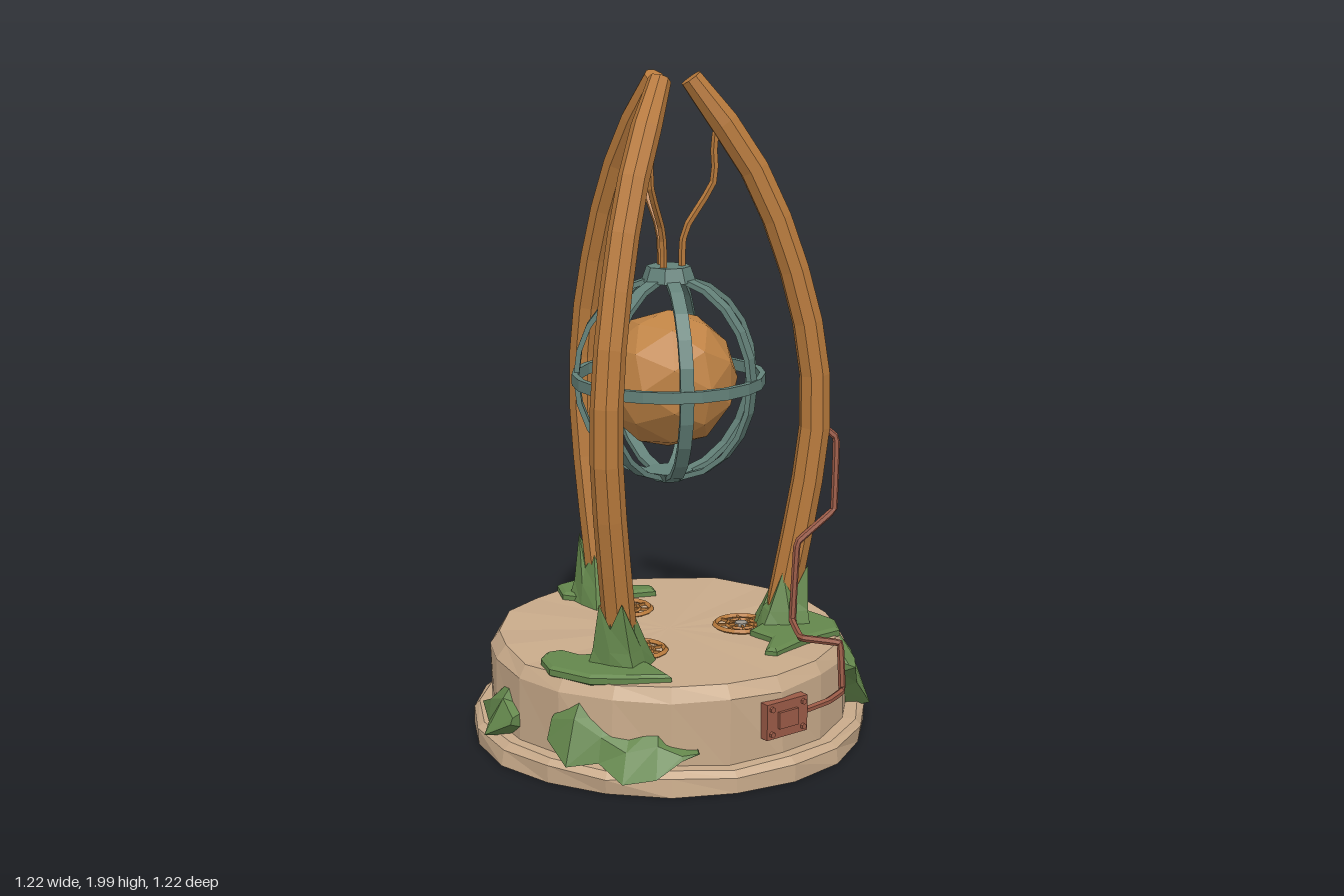
import * as THREE from 'three';

const V3 = (x, y, z) => new THREE.Vector3(x, y, z);
const V2 = (x, y) => new THREE.Vector2(x, y);
const mat = (name, color) => Object.assign(new THREE.MeshStandardMaterial({ color }), { name });
const rad = THREE.MathUtils.degToRad;

// Faceted copy of a geometry
function facet(geometry) {
  const g = geometry.index ? geometry.toNonIndexed() : geometry;
  g.computeVertexNormals();
  return g;
}

function add(parent, name, geometry, material, x = 0, y = 0, z = 0) {
  const mesh = new THREE.Mesh(facet(geometry), material);
  mesh.name = name;
  mesh.position.set(x, y, z);
  parent.add(mesh);
  return mesh;
}

// Solid through equal-sized rings, each counter-clockwise about the direction of travel
function loft(rings) {
  const n = rings[0].length, last = rings.length - 1, pos = [], idx = [];
  rings.forEach(ring => ring.forEach(p => pos.push(p.x, p.y, p.z)));
  for (let i = 0; i < last; i++) {
    for (let j = 0; j < n; j++) {
      const a = i * n + j, b = i * n + (j + 1) % n;
      idx.push(a, b, a + n, b, b + n, a + n);
    }
  }
  for (let j = 1; j < n - 1; j++) idx.push(0, j + 1, j, last * n, last * n + j, last * n + j + 1);
  const g = new THREE.BufferGeometry();
  g.setAttribute('position', new THREE.Float32BufferAttribute(pos, 3));
  g.setIndex(idx);
  return g;
}

// Sweep along a curve in the radius/height plane; size(t) gives in-plane and sideways half sizes
function sweep(curve, steps, sides, size, turn = 0) {
  const rings = [];
  for (let i = 0; i <= steps; i++) {
    const t = i / steps, c = curve.getPointAt(t), d = curve.getTangentAt(t), [a, b] = size(t);
    rings.push(Array.from({ length: sides }, (_, j) => {
      const w = turn + j / sides * Math.PI * 2;
      const u = a * Math.cos(w);
      return V3(c.x + u * d.y, c.y - u * d.x, -b * Math.sin(w));
    }));
  }
  return loft(rings);
}

// Lathe with a slightly worn, uneven outline
function wornLathe(profile) {
  const g = new THREE.LatheGeometry(profile.map(p => V2(...p)), 20);
  const p = g.attributes.position;
  for (let i = 0; i < p.count; i++) {
    const x = p.getX(i), y = p.getY(i), z = p.getZ(i), a = Math.atan2(x, z);
    const k = 1 + 0.007 * Math.sin(7 * a + y * 40) + 0.005 * Math.cos(4 * a - y * 25);
    const lift = y > 0.02 && Math.hypot(x, z) > 0.4 ? 0.005 * Math.sin(9 * a + y * 20) : 0;
    p.setXYZ(i, x * k, y + lift, z * k);
  }
  return g;
}

// Moss on the wall: columns of [angle, low, high]
function wallMoss(columns) {
  return loft(columns.map(([deg, low, high], i) => {
    const s = Math.sin(rad(deg)), c = Math.cos(rad(deg)), bump = i % 2 ? 0.012 : 0;
    const mid = low + (high - low) * 0.65;
    return [[0.51, high], [0.56 + bump, mid], [low < 0.06 ? 0.622 : 0.58, low + 0.02], [0.53, low]]
      .map(([r, y]) => V3(r * s, y, r * c));
  }));
}

export function createModel() {
  const stone = mat('sandstone', 0xc8aa8a);
  const wood = mat('bronze wood', 0xb87a3c);
  const amber = mat('amber orb', 0xbf8345);
  const steel = mat('teal metal', 0x64827a);
  const green = mat('moss green', 0x64874c);
  const copper = mat('red copper', 0x9a5a46);
  const gray = mat('gray metal', 0xa09a90);

  const model = new THREE.Group();
  model.name = 'orbShrine';

  // Stone base
  add(model, 'plinth', wornLathe([[0, 0], [0.605, 0], [0.605, 0.05], [0.585, 0.068], [0, 0.068]]), stone);
  add(model, 'drum', wornLathe([[0, 0.05], [0.548, 0.05], [0.546, 0.26], [0.52, 0.3], [0, 0.3]]), stone);

  // Three curved arms, each with a wire, a floor grate and a moss collar
  const armPath = new THREE.SplineCurve([[0.335, 0.28], [0.4, 0.62], [0.445, 0.93], [0.428, 1.2],
    [0.345, 1.5], [0.235, 1.74], [0.065, 1.975]].map(p => V2(...p)));
  const wirePath = new THREE.SplineCurve([[0.165, 1.85], [0.135, 1.8], [0.135, 1.68], [0.09, 1.6],
    [0.046, 1.52], [0.04, 1.41]].map(p => V2(...p)));
  for (let k = 0; k < 3; k++) {
    const unit = new THREE.Group();
    unit.name = 'armUnit' + (k + 1);
    unit.rotation.y = rad(90 + 120 * k);
    model.add(unit);
    add(unit, 'arm', sweep(armPath, 11, 8, t => {
      const r = t > 0.93 ? 0.034 : 0.05 - 0.006 * t;
      return [r, r];
    }, Math.PI / 8), wood);
    add(unit, 'wire', sweep(wirePath, 10, 5, () => [0.011, 0.011]), wood);

    const grate = new THREE.Group();
    grate.name = 'floorGrate';
    grate.position.set(0.225, 0.304, 0);
    unit.add(grate);
    [[0.08, 0.009], [0.045, 0.006]].forEach(([r, w]) =>
      add(grate, 'grateRing', new THREE.TorusGeometry(r, w, 4, 16).rotateX(Math.PI / 2), wood));
    for (let i = 0; i < 8; i++) {
      const spoke = add(grate, 'grateSpoke', new THREE.BoxGeometry(0.06, 0.008, 0.007).translate(0.048, 0, 0), wood);
      spoke.rotation.y = i * Math.PI / 4;
    }
    add(grate, 'grateHub', new THREE.CylinderGeometry(0.02, 0.022, 0.014, 8), gray);

    const peaks = [0.43, 0.51, 0.41, 0.46, 0.38, 0.48, 0.4, 0.5];
    const collar = [0, 1, 2].map(level => peaks.map((h, j) => {
      const w = -j / 8 * Math.PI * 2, jag = j % 2 ? 0.01 : -0.004;
      const r = [0.092, 0.074, 0.052][level] + jag * (2 - level);
      const y = [0.29, 0.36, h][level];
      return V3(0.352 + (y - 0.3) * 0.18 + r * Math.cos(w), y, r * Math.sin(w));
    }));
    add(unit, 'mossCollar', loft(collar), green);
  }

  // Moss mats on the drum top, outlines in x and z
  const mats = [
    [[-0.06, -0.52], [0.06, -0.53], [0.1, -0.47], [0.12, -0.38], [0.18, -0.33], [0.16, -0.28],
      [0.05, -0.32], [-0.05, -0.35], [-0.1, -0.43]],
    [[-0.45, 0], [-0.4, 0.01], [-0.38, 0.08], [-0.28, 0.12], [-0.3, 0.2], [-0.26, 0.25],
      [-0.28, 0.39], [-0.4, 0.31], [-0.47, 0.25], [-0.52, 0.12], [-0.49, 0.03]],
    [[0.4, 0.06], [0.42, 0.15], [0.43, 0.28], [0.38, 0.36], [0.25, 0.36], [0.1, 0.4],
      [0.08, 0.37], [0.17, 0.29], [0.16, 0.2], [0.28, 0.15]],
  ];
  mats.forEach(outline => {
    const shape = new THREE.Shape(outline.map(([x, z]) => V2(x, -z)));
    const g = new THREE.ExtrudeGeometry(shape, { depth: 0.018, bevelEnabled: true, bevelSegments: 1,
      bevelSize: 0.012, bevelOffset: -0.012, bevelThickness: 0.008 });
    add(model, 'mossMat', g.rotateX(-Math.PI / 2), green, 0, 0.296, 0);
  });

  // Moss creeping over the wall
  [
    [[98, 0.09, 0.12], [105, 0.05, 0.16], [113, 0.03, 0.17], [122, 0.02, 0.15], [131, 0.06, 0.18],
      [141, 0.08, 0.14], [154, 0.12, 0.14]],
    [[40, 0.2, 0.24], [46, 0.13, 0.28], [53, 0.04, 0.31], [60, 0.03, 0.3], [66, 0.07, 0.27],
      [72, 0.12, 0.2], [77, 0.15, 0.17]],
    [[248, 0.1, 0.13], [255, 0.06, 0.2], [262, 0.05, 0.24], [270, 0.1, 0.16]],
    [[286, 0.1, 0.22], [295, 0.05, 0.28], [303, 0.06, 0.2], [311, 0.02, 0.17], [320, 0.04, 0.19],
      [327, 0.08, 0.13], [332, 0.1, 0.12]],
  ].forEach(columns => add(model, 'wallMoss', wallMoss(columns), green));

  // Orb inside its cage
  add(model, 'orb', new THREE.IcosahedronGeometry(0.208, 1), amber, 0, 1.085, 0);
  const cage = new THREE.Group();
  cage.name = 'cage';
  cage.position.y = 1.088;
  model.add(cage);
  const ribPath = new THREE.EllipseCurve(0, 0, 0.276, 0.305, rad(-80), rad(80));
  for (let k = 0; k < 7; k++) {
    const rib = add(cage, 'rib', sweep(ribPath, 10, 4, () => [0.011, 0.028], Math.PI / 4), steel);
    rib.rotation.y = rad(90 + k * 360 / 7);
  }
  const band = [[0.272, -0.017], [0.29, -0.017], [0.29, 0.017], [0.272, 0.017], [0.272, -0.017]];
  add(cage, 'equatorBand', new THREE.LatheGeometry(band.map(p => V2(...p)), 21), steel);
  add(cage, 'topHub', new THREE.CylinderGeometry(0.066, 0.082, 0.045, 8), steel, 0, 0.315, 0);
  add(cage, 'bottomHub', new THREE.CylinderGeometry(0.075, 0.05, 0.03, 8), steel, 0, -0.298, 0);

  // Copper panel on the front wall
  const panel = new THREE.Group();
  panel.name = 'controlPanel';
  panel.position.set(0.003, 0.183, 0.552);
  model.add(panel);
  add(panel, 'panelPlate', new THREE.BoxGeometry(0.15, 0.108, 0.03), copper);
  add(panel, 'panelBoss', new THREE.BoxGeometry(0.07, 0.05, 0.012), copper, 0, 0, 0.018);
  for (const x of [-0.058, 0.058]) {
    for (const y of [-0.038, 0.038]) {
      add(panel, 'panelBolt', new THREE.CylinderGeometry(0.009, 0.009, 0.01, 6).rotateX(Math.PI / 2), copper, x, y, 0.018);
    }
  }

  // Pipe from the panel over the rim and up the left arm
  const route = [[0.07, 0.185, 0.555], [0.18, 0.185, 0.54], [0.27, 0.185, 0.5], [0.272, 0.33, 0.485],
    [0.21, 0.33, 0.38], [0.285, 0.335, 0.25], [0.3, 0.58, 0.25], [0.42, 0.67, 0.278],
    [0.437, 0.89, 0.265], [0.4, 0.93, 0.235]].map(p => V3(...p));
  const pipe = new THREE.CatmullRomCurve3(route, false, 'catmullrom', 0.05);
  add(model, 'pipe', new THREE.TubeGeometry(pipe, 70, 0.011, 6), copper);

  return model;
}
